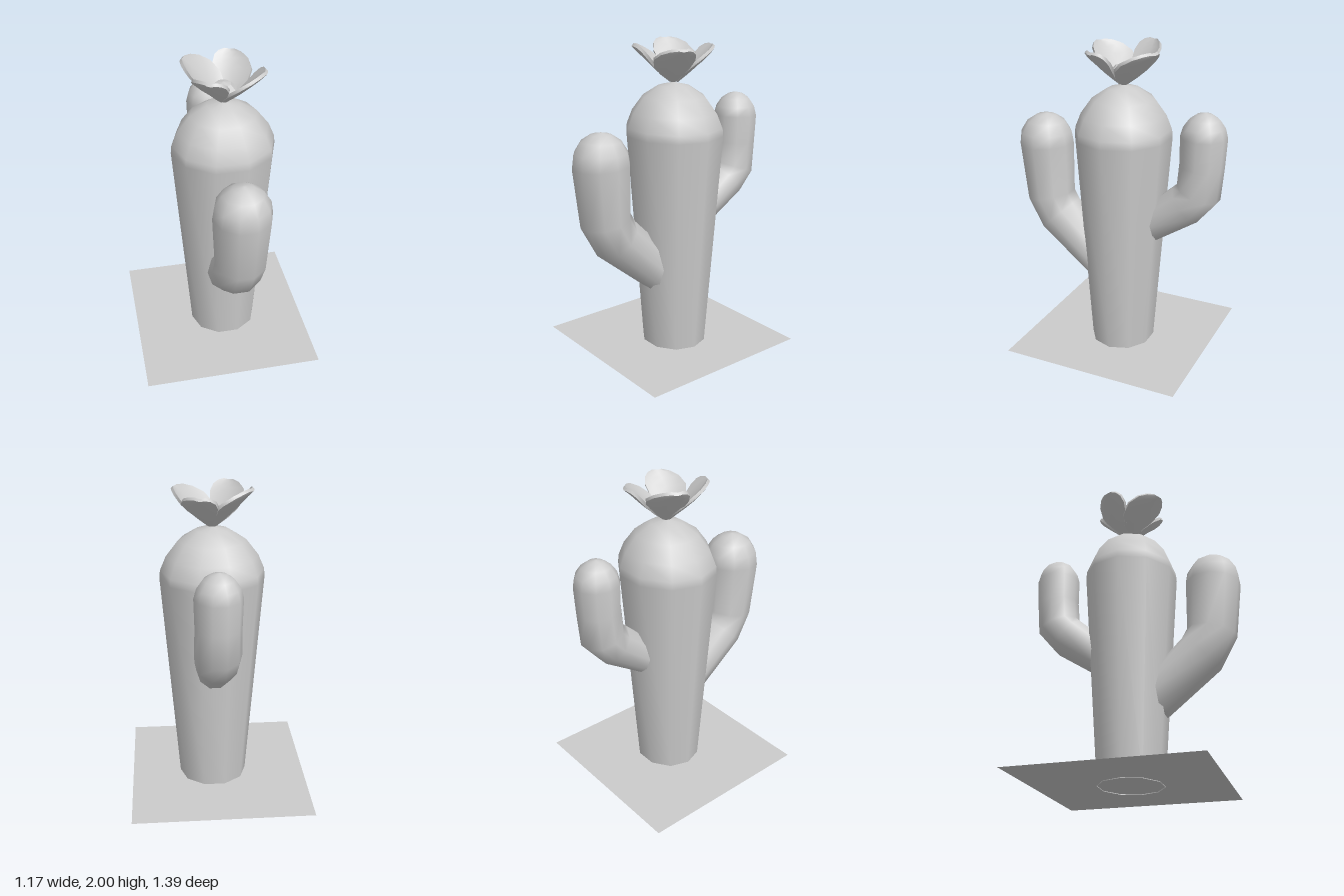
import * as THREE from 'three';
import { toCreasedNormals } from 'three/addons/utils/BufferGeometryUtils.js';

const CX = 0.035, CZ = -0.03; // axis of the trunk
const SIDES = 10;

// Skin a list of equal-sized point rings and close both ends with fans.
function loft(rings) {
  const n = rings[0].length, pos = [], index = [];
  const centre = ring => ring.reduce((s, p) => s.add(p), new THREE.Vector3()).divideScalar(n);
  rings.flat().forEach(p => pos.push(p.x, p.y, p.z));
  const first = rings.length * n, last = first + 1, top = (rings.length - 1) * n;
  [rings[0], rings[rings.length - 1]].forEach(r => pos.push(...centre(r).toArray()));
  for (let j = 0; j < n; j++) {
    const k = (j + 1) % n;
    for (let i = 0; i < rings.length - 1; i++) {
      const a = i * n + j, b = i * n + k;
      index.push(a, b, b + n, a, b + n, a + n);
    }
    index.push(k, j, first, top + j, top + k, last);
  }
  const geo = new THREE.BufferGeometry();
  geo.setAttribute('position', new THREE.Float32BufferAttribute(pos, 3));
  geo.setIndex(index);
  geo.computeVertexNormals();
  return geo;
}

// Bent arm: path entries are [z, y, radius].
function armGeometry(path) {
  const rings = path.map(([z, y, r], i) => {
    const a = path[Math.max(i - 1, 0)], b = path[Math.min(i + 1, path.length - 1)];
    const t = new THREE.Vector2(b[0] - a[0], b[1] - a[1]).normalize();
    return Array.from({ length: SIDES }, (_, j) => {
      const th = j / SIDES * Math.PI * 2, u = r * Math.cos(th), v = r * Math.sin(th);
      return new THREE.Vector3(CX + u, y + v * t.x, z - v * t.y);
    });
  });
  return loft(rings);
}

// Cupped petal that swirls sideways from its foot to its tip.
function petalGeometry(tipAngle, tipY) {
  const sections = [ // along, half width
    [0, 0.02], [0.2, 0.07], [0.42, 0.11], [0.65, 0.125], [0.83, 0.105], [0.94, 0.07], [1, 0.03]];
  const across = [-1, -0.6, 0, 0.6, 1];
  const rings = sections.map(([t, w]) => {
    const a = tipAngle - 0.6 * (1 - t);
    const out = new THREE.Vector3(Math.cos(a), 0, -Math.sin(a));
    const side = new THREE.Vector3(-Math.sin(a), 0, -Math.cos(a));
    const r = 0.02 + 0.235 * t, y = 1.755 + (tipY - 1.755) * (0.9 * t + 0.1 * t * t);
    const point = (s, lift) => new THREE.Vector3(CX, y, CZ)
      .addScaledVector(side, s * w)
      .addScaledVector(out, r - lift - 0.02 * s * s * w / 0.125)
      .add(new THREE.Vector3(0, lift + 0.02 * s * s * w / 0.125, 0));
    return [...across.map(s => point(s, -0.007)), ...across.slice().reverse().map(s => point(s, 0.007))];
  });
  return toCreasedNormals(loft(rings), 0.8);
}

export function createModel() {
  const group = new THREE.Group();
  const mat = new THREE.MeshStandardMaterial({ color: 0xcccccc, side: THREE.DoubleSide });
  const add = (name, geo, parent = group) => {
    const mesh = new THREE.Mesh(geo, mat);
    mesh.name = name;
    parent.add(mesh);
    return mesh;
  };

  // Ground sheet
  const ground = new THREE.PlaneGeometry(1.17, 1.175).rotateX(-Math.PI / 2);
  add('groundSheet', ground).position.set(0, 0.004, CZ);

  // Tapered trunk with a domed top, slightly narrower front to back
  const profile = [[0.223, 0], [0.33, 1.42], [0.325, 1.47], [0.287, 1.56], [0.21, 1.66], [0.105, 1.725], [0, 1.748]]
    .map(p => new THREE.Vector2(...p));
  const trunk = add('trunk', new THREE.LatheGeometry(profile, SIDES, Math.PI / 2));
  trunk.position.set(CX, 0, CZ);
  trunk.scale.z = 0.925;

  // Arms bending upwards
  add('frontArm', armGeometry([
    [0.02, 0.45, 0.135], [0.125, 0.54, 0.14], [0.43, 0.815, 0.16], [0.505, 0.95, 0.162],
    [0.527, 1.3, 0.18], [0.527, 1.38, 0.168], [0.526, 1.45, 0.125], [0.525, 1.49, 0.065], [0.525, 1.502, 0.01]]));
  add('backArm', armGeometry([
    [-0.1, 0.77, 0.105], [-0.235, 0.865, 0.115], [-0.465, 1.04, 0.137], [-0.54, 1.125, 0.142],
    [-0.555, 1.3, 0.138], [-0.56, 1.48, 0.143], [-0.56, 1.54, 0.127], [-0.56, 1.59, 0.092],
    [-0.56, 1.62, 0.048], [-0.56, 1.63, 0.008]]));

  // Flower: four petals around a faceted bud
  const flower = new THREE.Group();
  flower.name = 'flower';
  group.add(flower);
  [[70, 1.965], [155, 1.99], [241, 1.975], [334, 1.965]].forEach(([deg, y], i) =>
    add('petal' + (i + 1), petalGeometry(THREE.MathUtils.degToRad(deg), y), flower));
  const budProfile = [[0, 1.745], [0.06, 1.78], [0.085, 1.83], [0.05, 1.865], [0, 1.875]]
    .map(p => new THREE.Vector2(...p));
  const bud = add('bud', new THREE.LatheGeometry(budProfile, 7), flower);
  bud.material = mat.clone();
  bud.material.flatShading = true;
  bud.position.set(CX, 0, CZ);

  return group;
}
